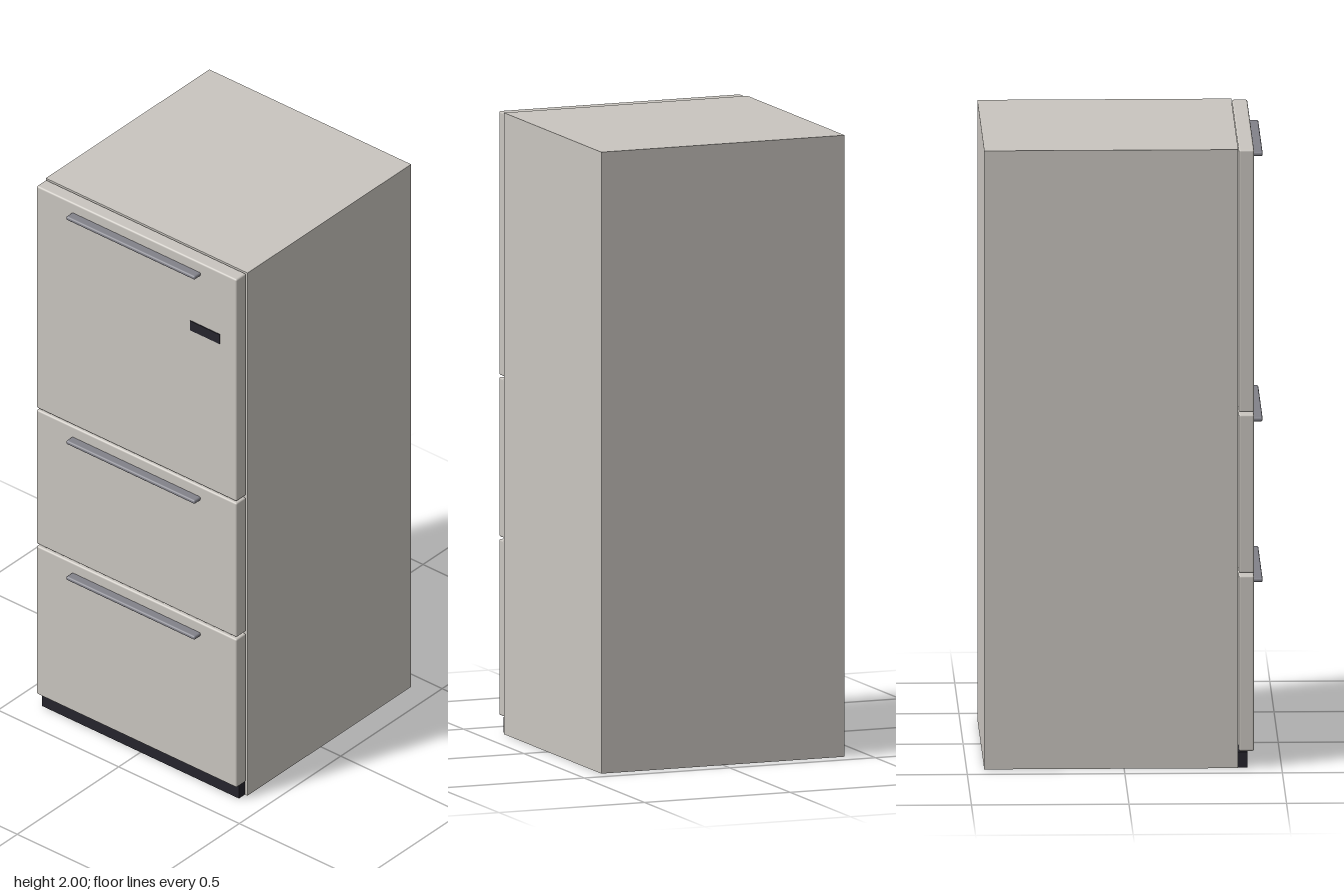
import * as THREE from 'three';
import { RoundedBoxGeometry } from 'three/addons/geometries/RoundedBoxGeometry.js';

const mat = (name, color) => new THREE.MeshStandardMaterial({ name, color });

export function createModel() {
  const group = new THREE.Group();
  const panelGrey = mat('warm grey enamel', 0xc9c5bf);
  const handleGrey = mat('handle grey', 0x82828a);
  const dark = mat('dark plastic', 0x25242c);

  function add(name, geometry, material, x, y, z) {
    const mesh = new THREE.Mesh(geometry, material);
    mesh.name = name;
    mesh.position.set(x, y, z);
    group.add(mesh);
  }

  // Cabinet
  add('cabinet', new THREE.BoxGeometry(0.836, 2, 0.806), panelGrey, 0, 1, -0.041);

  // Recessed kick plate under the doors
  add('kickPlate', new THREE.BoxGeometry(0.816, 0.05, 0.03), dark, 0, 0.025, 0.377);

  // Door and two drawers: [name, bottom, top, handle height]
  const fronts = [
    ['upperDoor', 1.149, 1.998, 1.955],
    ['middleDrawer', 0.629, 1.142, 1.097],
    ['lowerDrawer', 0.054, 0.621, 0.577],
  ];
  for (const [name, bottom, top, handleY] of fronts) {
    add(name, new RoundedBoxGeometry(0.83, top - bottom, 0.049, 3, 0.006),
      panelGrey, 0, (bottom + top) / 2, 0.3885);
    add(name + 'Handle', new RoundedBoxGeometry(0.534, 0.014, 0.034, 3, 0.006),
      handleGrey, 0, handleY, 0.427);
  }

  // Thin control display on the upper door
  add('display', new THREE.BoxGeometry(0.122, 0.036, 0.006), dark, 0.286, 1.743, 0.413);

  return group;
}
